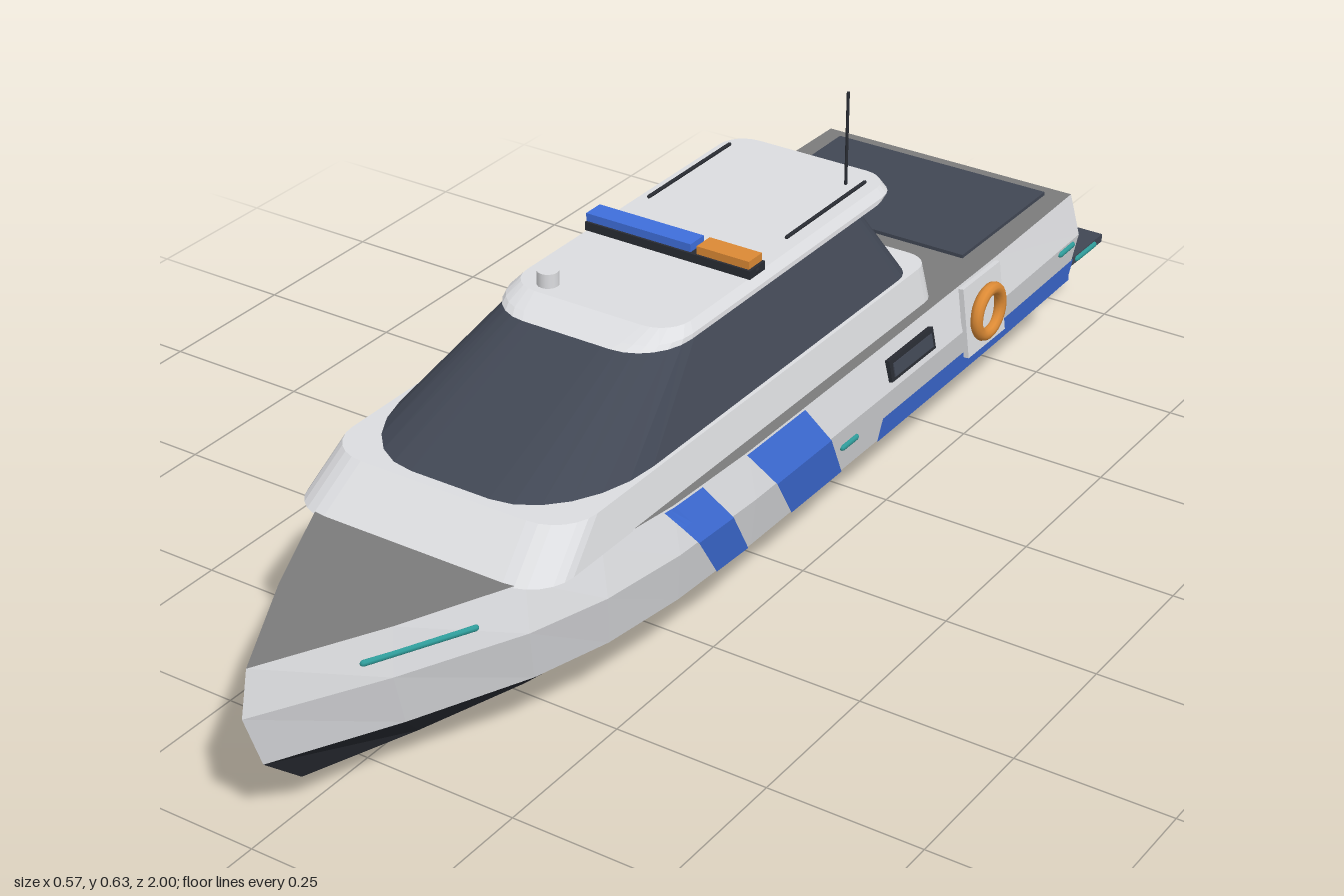
import * as THREE from 'three';

const mat = (name, color) => {
  const m = new THREE.MeshStandardMaterial({ color });
  m.name = name;
  return m;
};

// Hull lines: height, half width, stern z, bow z
const LEVELS = [
  [0, 0.016, -0.82, 0.68],
  [0.052, 0.163, -0.86, 0.89],
  [0.117, 0.243, -0.87, 0.965],
  [0.21, 0.262, -0.872, 1.0],
  [0.282, 0.244, -0.868, 0.985],
];
// Fullness of the plan shape from stern to bow
const T = [0, 0.15, 0.35, 0.55, 0.65, 0.73, 0.8, 0.9, 1];
const F = [0.965, 0.99, 1, 1, 0.97, 0.89, 0.74, 0.4, 0];

function fullness(t) {
  let i = 0;
  while (i < T.length - 2 && t > T[i + 1]) i++;
  return THREE.MathUtils.lerp(F[i], F[i + 1], (t - T[i]) / (T[i + 1] - T[i]));
}
const hullLine = (l) => T.map((t, i) => {
  const [y, w, zs, zb] = LEVELS[l];
  return [w * F[i], y, zs + (zb - zs) * t];
});
const centred = (line) => line.map(([, y, z]) => [0, y, z]);

// Half width of the hull at a given height and length
function hullX(y, z) {
  let l = 0;
  while (l < LEVELS.length - 2 && y > LEVELS[l + 1][0]) l++;
  const at = ([, w, zs, zb]) => w * fullness((z - zs) / (zb - zs));
  const [a, b] = [LEVELS[l], LEVELS[l + 1]];
  return THREE.MathUtils.lerp(at(a), at(b), (y - a[0]) / (b[0] - a[0]));
}

// Faceted surface through rows of points, optionally mirrored across x
function grid(rows, mirror = false) {
  const pos = [];
  const tri = (a, b, c) => {
    pos.push(...a, ...b, ...c);
    if (mirror) for (const p of [a, c, b]) pos.push(-p[0], p[1], p[2]);
  };
  for (let r = 0; r < rows.length - 1; r++) {
    for (let i = 0; i < rows[r].length - 1; i++) {
      const [a, b, c, d] = [rows[r][i], rows[r + 1][i], rows[r + 1][i + 1], rows[r][i + 1]];
      tri(a, b, c);
      tri(a, c, d);
    }
  }
  const g = new THREE.BufferGeometry();
  g.setAttribute('position', new THREE.Float32BufferAttribute(pos, 3));
  g.computeVertexNormals();
  return g;
}

// Closed loop: rounded rectangle with elliptical front corners
function section(y, hw, zb, zf, rx, rz, rb) {
  const pts = [];
  const corner = (cx, cz, ax, az, from) => {
    for (let k = 0; k <= 6; k++) {
      const a = from + (k / 6) * Math.PI / 2;
      pts.push([cx + ax * Math.cos(a), y, cz + az * Math.sin(a)]);
    }
  };
  corner(hw - rb, zb + rb, rb, rb, -Math.PI / 2);
  corner(hw - rx, zf - rz, rx, rz, 0);
  corner(-hw + rx, zf - rz, rx, rz, Math.PI / 2);
  corner(-hw + rb, zb + rb, rb, rb, Math.PI);
  pts.push(pts[0]);
  return pts;
}
function loft(sections) {
  const cap = (s) => s.map(() => [0, s[0][1], 0]);
  return grid([cap(sections[0]), ...sections, cap(sections[sections.length - 1])]);
}

export function createModel() {
  const boat = new THREE.Group();
  boat.name = 'patrolBoat';
  const white = mat('paleGrey', 0xdcdde0);
  const deckGrey = mat('deckGrey', 0x7c7c7c);
  const glass = mat('slateGlass', 0x414754);
  const dark = mat('hullBlack', 0x292c33);
  const blue = mat('blue', 0x3f6fdc);
  const orange = mat('orange', 0xdc8a35);
  const teal = mat('teal', 0x2f9c9a);

  const add = (name, geo, m, x = 0, y = 0, z = 0) => {
    const mesh = new THREE.Mesh(geo, m);
    mesh.name = name;
    mesh.position.set(x, y, z);
    boat.add(mesh);
    return mesh;
  };
  const box = (name, m, w, h, d, x, y, z) => add(name, new THREE.BoxGeometry(w, h, d), m, x, y, z);
  const rod = (name, m, r, a, b) => {
    const path = new THREE.LineCurve3(new THREE.Vector3(...a), new THREE.Vector3(...b));
    const len = path.getLength();
    const mesh = add(name, new THREE.CapsuleGeometry(r, Math.max(len - 2 * r, 0.001), 3, 8), m);
    mesh.position.copy(path.getPoint(0.5));
    mesh.quaternion.setFromUnitVectors(new THREE.Vector3(0, 1, 0), path.getTangent(0));
  };

  // Hull, transom and deck
  const L = LEVELS.map((_, l) => hullLine(l));
  add('hullBottom', grid([centred(L[0]), L[0], L[1], L[2]], true), dark);
  add('hullSides', grid([L[2], L[3], L[4]], true), white);
  add('deck', grid([L[4], centred(L[4])], true), deckGrey);
  const transom = (ls) => {
    const edge = ls.map((l) => L[l][0]);
    return grid([edge, centred(edge)], true);
  };
  add('transomBottom', transom([0, 1, 2]), dark);
  add('transom', transom([2, 3, 4]), white);
  box('aftHatch', glass, 0.4, 0.008, 0.28, 0, 0.284, -0.7);

  // Painted hull stripes that follow the side surface
  const stripe = (name, zBack, zFront) => {
    const rows = [0.118, 0.165, 0.21, 0.245, 0.281].map((y) => {
      const row = [];
      for (let i = 0; i <= 8; i++) {
        const z = THREE.MathUtils.lerp(zBack(y), zFront(y), i / 8);
        row.push([hullX(y, z) + 0.003, y, z]);
      }
      return row;
    });
    add(name, grid(rows, true), blue);
  };
  const slant = (bottom, top) => (y) => THREE.MathUtils.mapLinear(y, 0.117, 0.282, bottom, top);
  stripe('narrowSlantedStripe', slant(0.15, 0.27), slant(0.23, 0.36));
  stripe('wideSlantedStripe', slant(-0.115, 0), slant(0.03, 0.16));
  const low = [0.118, 0.163].map((y) => {
    const row = [];
    for (let i = 0; i <= 8; i++) {
      const z = -0.869 + i * 0.081;
      row.push([hullX(y, z) + 0.003, y, z]);
    }
    return row;
  });
  add('aftStripe', grid(low, true), blue);
  box('transomStripe', blue, 0.476, 0.046, 0.006, 0, 0.141, -0.871);

  // Swim platform
  box('swimPlatform', glass, 0.47, 0.014, 0.135, 0, 0.145, -0.9325);

  // Cabin trunk, wraparound glass and roof
  add('cabinTrunk', loft([
    section(0.28, 0.226, -0.435, 0.635, 0.07, 0.07, 0.04),
    section(0.34, 0.214, -0.43, 0.56, 0.07, 0.07, 0.04),
  ]), white);
  add('cabinGlass', loft([
    section(0.339, 0.208, -0.39, 0.545, 0.14, 0.2, 0.05),
    section(0.452, 0.15, -0.335, 0.245, 0.09, 0.1, 0.04),
  ]), glass);
  add('roof', loft([
    section(0.45, 0.157, -0.4, 0.26, 0.08, 0.09, 0.045),
    section(0.457, 0.156, -0.418, 0.245, 0.07, 0.08, 0.045),
    section(0.47, 0.145, -0.415, 0.205, 0.05, 0.05, 0.045),
  ]), white);

  // Roof equipment
  rod('lightBarBase', dark, 0.008, [-0.15, 0.477, -0.02], [0.15, 0.477, -0.02]);
  box('lightBarFoot', dark, 0.296, 0.014, 0.042, 0, 0.477, -0.02);
  box('blueLight', blue, 0.189, 0.013, 0.036, -0.053, 0.491, -0.02);
  box('orangeLight', orange, 0.092, 0.013, 0.036, 0.098, 0.491, -0.02);
  add('radarDome', new THREE.CylinderGeometry(0.017, 0.017, 0.024, 16), white, -0.092, 0.481, 0.175);
  add('antenna', new THREE.CylinderGeometry(0.0025, 0.0025, 0.158, 8), dark, 0.098, 0.548, -0.355);

  // Fittings repeated on both sides
  for (const s of [1, -1]) {
    rod('roofRail', dark, 0.003, [s * 0.125, 0.476, -0.37], [s * 0.125, 0.476, -0.135]);

    const marker = (y, z0, z1) => rod('markerLight', teal, 0.005,
      [s * (hullX(y, z0) + 0.001), y, z0], [s * (hullX(y, z1) + 0.001), y, z1]);
    marker(0.243, 0.69, 0.85);
    marker(0.17, -0.145, -0.095);
    marker(0.2, -0.855, -0.8);
    rod('platformLight', teal, 0.005, [s * 0.235, 0.145, -0.975], [s * 0.235, 0.145, -0.9]);

    const frame = box('portholeFrame', dark, 0.012, 0.036, 0.135, s * 0.255, 0.242, -0.298);
    const pane = box('portholePane', glass, 0.008, 0.022, 0.118, s * 0.259, 0.242, -0.298);
    frame.rotation.z = pane.rotation.z = s * 0.2;

    const plate = box('lifeRingPlate', white, 0.009, 0.12, 0.12, s * 0.261, 0.225, -0.52);
    plate.rotation.z = s * 0.13;
    const ring = add('lifeRing', new THREE.TorusGeometry(0.039, 0.0105, 10, 28), orange, s * 0.273, 0.225, -0.52);
    ring.rotation.y = Math.PI / 2;
  }
  return boat;
}
